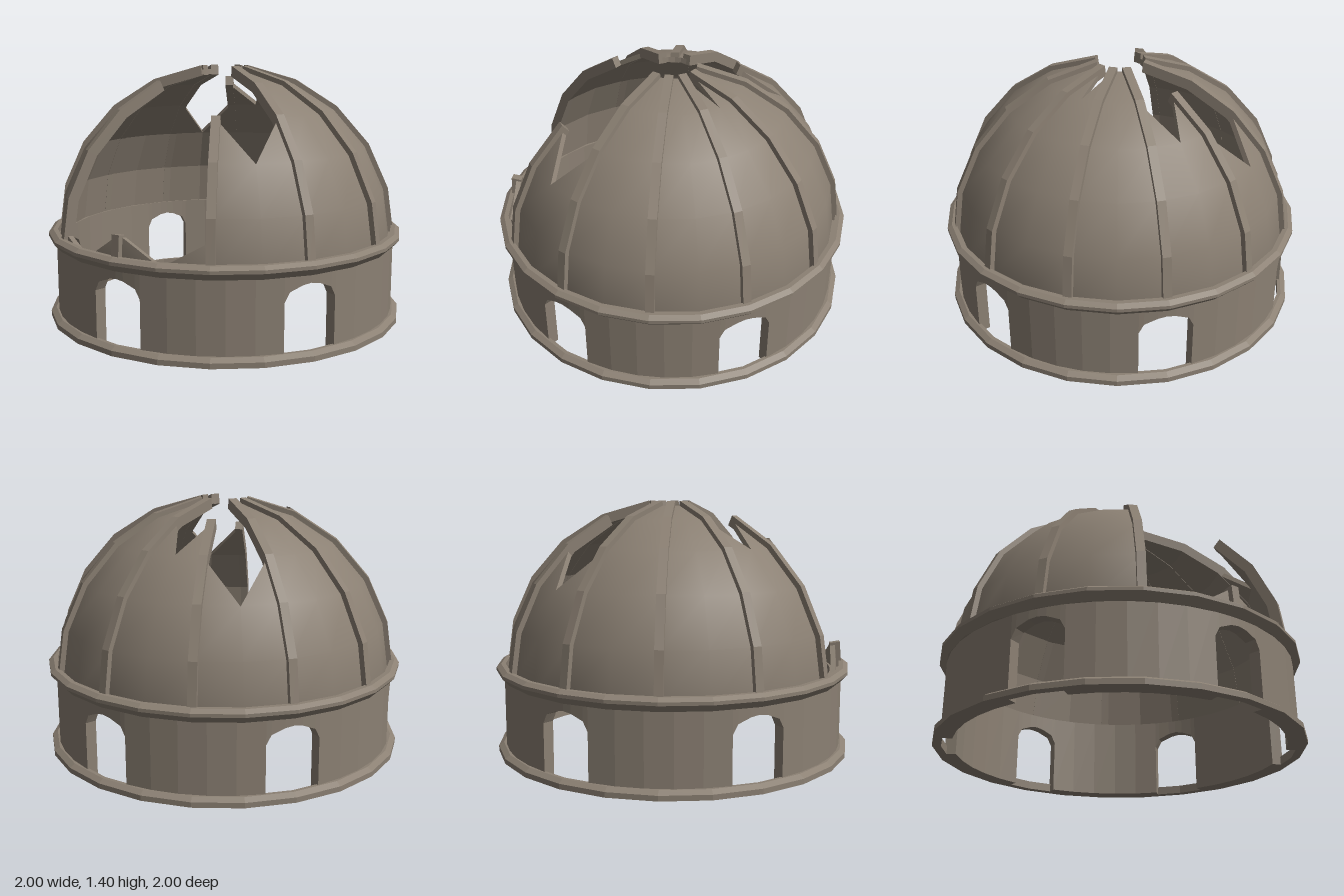
import * as THREE from 'three';

const stone = new THREE.MeshStandardMaterial({ color: 0x8b8073 });
stone.name = 'weathered stone';

const rad = THREE.MathUtils.degToRad;
const CENTRE_Y = 0.44; // centre of the dome sphere
const ROW = 16.4;      // elevation of one course of the dome, in degrees

// point at a heading (0 = front, 90 = +x), radius and height
const polar = (deg, r, y) => new THREE.Vector3(r * Math.sin(rad(deg)), y, r * Math.cos(rad(deg)));
// point on a dome sphere of radius R at a heading and course
const onDome = (deg, row, R) =>
  polar(deg, R * Math.cos(rad(row * ROW)), CENTRE_Y + R * Math.sin(rad(row * ROW)));

// collects quads (counter-clockwise), flat or smooth about the dome centre
class Faces {
  pos = [];
  nor = [];
  tri(a, b, c, smooth) {
    const n = b.clone().sub(a).cross(c.clone().sub(a));
    if (n.length() < 1e-7) return;
    n.normalize();
    for (const p of [a, b, c]) {
      this.pos.push(p.x, p.y, p.z);
      const m = smooth ? p.clone().sub(new THREE.Vector3(0, CENTRE_Y, 0)).normalize() : n;
      this.nor.push(m.x, m.y, m.z);
    }
  }
  quad(a, b, c, d, smooth = false) {
    this.tri(a, b, c, smooth);
    this.tri(a, c, d, smooth);
  }
  mesh(name) {
    const g = new THREE.BufferGeometry();
    g.setAttribute('position', new THREE.Float32BufferAttribute(this.pos, 3));
    g.setAttribute('normal', new THREE.Float32BufferAttribute(this.nor, 3));
    return named(g, name);
  }
}

function named(geometry, name) {
  const m = new THREE.Mesh(geometry, stone);
  m.name = name;
  return m;
}

// 24-sided moulding from a closed profile
function ring(name, profile) {
  const pts = [...profile, profile[0]].map(([r, y]) => new THREE.Vector2(r, y));
  const g = new THREE.LatheGeometry(pts, 24).toNonIndexed();
  g.computeVertexNormals();
  return named(g, name);
}

// drum wall pierced by six arched openings
function drumWall() {
  const f = new Faces(), RO = 0.957, RI = 0.895, TOP = 0.46;
  const block = (a0, a1, b0, b1) => {
    const o = (a, y) => polar(a, RO, y), i = (a, y) => polar(a, RI, y);
    f.quad(o(a0, b0), o(a1, b1), o(a1, TOP), o(a0, TOP));
    f.quad(i(a1, b1), i(a0, b0), i(a0, TOP), i(a1, TOP));
    f.quad(o(a0, b0), i(a0, b0), i(a1, b1), o(a1, b1));
    f.quad(i(a0, TOP), o(a0, TOP), o(a1, TOP), i(a1, TOP));
  };
  const arch = [[-8.6, 0.3], [-7, 0.35], [-2.8, 0.378], [0, 0.385], [2.8, 0.378], [7, 0.35], [8.6, 0.3]];
  for (let k = 0; k < 6; k++) {
    const mid = -15 + 60 * k;
    for (let j = 0; j < arch.length - 1; j++)
      block(mid + arch[j][0], mid + arch[j + 1][0], arch[j][1], arch[j + 1][1]);
    const a = mid + 8.6, b = mid + 51.4, step = (b - a) / 5;
    for (let j = 0; j < 5; j++) block(a + j * step, a + (j + 1) * step, 0, 0);
    // jambs on either side of the pier
    const jamb = (d, r0, r1) =>
      f.quad(polar(d, r0, 0), polar(d, r1, 0), polar(d, r1, 0.3), polar(d, r0, 0.3));
    jamb(a, RI, RO);
    jamb(b, RO, RI);
  }
  return f.mesh('drumWall');
}

// broken edge: course reached at the start and end of each 15 degree bay
const BROKEN = {
  45: [5, 4], 60: [4, 5], 105: [4, 3], 120: [3, 4], 135: [3, 2], 150: [2, 3],
  225: [4, 3], 240: [3, 4], 255: [0.3, 0], 270: [0, 0.6], 285: [0.6, 0.1],
  300: [0.1, 0.6], 315: [3, 2], 330: [2, 3],
};

function domeShell() {
  const f = new Faces(), RO = 0.94, RI = 0.912;
  for (let a = 0; a < 360; a += 15) {
    const b = a + 15, [ta, tb] = BROKEN[a] ?? [5, 5];
    for (let row = 0; row < 5; row++) {
      const a0 = Math.min(row, ta), a1 = Math.min(row + 1, ta);
      const b0 = Math.min(row, tb), b1 = Math.min(row + 1, tb);
      f.quad(onDome(a, a0, RO), onDome(b, b0, RO), onDome(b, b1, RO), onDome(a, a1, RO), true);
      f.quad(onDome(b, b0, RI), onDome(a, a0, RI), onDome(a, a1, RI), onDome(b, b1, RI));
    }
    // thickness along the broken edge
    f.quad(onDome(a, ta, RI), onDome(a, ta, RO), onDome(b, tb, RO), onDome(b, tb, RI));
  }
  return f.mesh('domeShell');
}

// faceted rib running up to a given course
function rib(deg, top) {
  const rows = [0, 1, 2, 3, 4, 5].filter((r) => r < top).concat(top);
  const at = (R) => (row) =>
    new THREE.Vector2(R * Math.cos(rad(row * ROW)), CENTRE_Y + R * Math.sin(rad(row * ROW)));
  const shape = new THREE.Shape([...rows.map(at(0.965)), ...rows.map(at(0.908)).reverse()]);
  const g = new THREE.ExtrudeGeometry(shape, { depth: 0.046, bevelEnabled: false });
  g.translate(0, 0, -0.023);
  g.rotateY(rad(deg - 90));
  return named(g, 'rib');
}

export function createModel() {
  const model = new THREE.Group();
  model.name = 'ruinedDome';
  model.add(
    ring('baseMoulding', [[0.953, 0], [1, 0], [1, 0.028], [0.972, 0.046], [0.953, 0.046]]),
    drumWall(),
    ring('cornice', [[0.95, 0.425], [0.965, 0.425], [1, 0.462], [1, 0.48], [0.975, 0.497], [0.95, 0.497]]),
    domeShell(),
  );

  // twelve ribs, four of them snapped off
  const ribs = new THREE.Group();
  ribs.name = 'ribs';
  const snapped = { 135: 4, 255: 4, 285: 0.6, 315: 3 };
  for (let a = 15; a < 360; a += 30) ribs.add(rib(a, snapped[a] ?? 5));
  model.add(ribs);
  return model;
}
